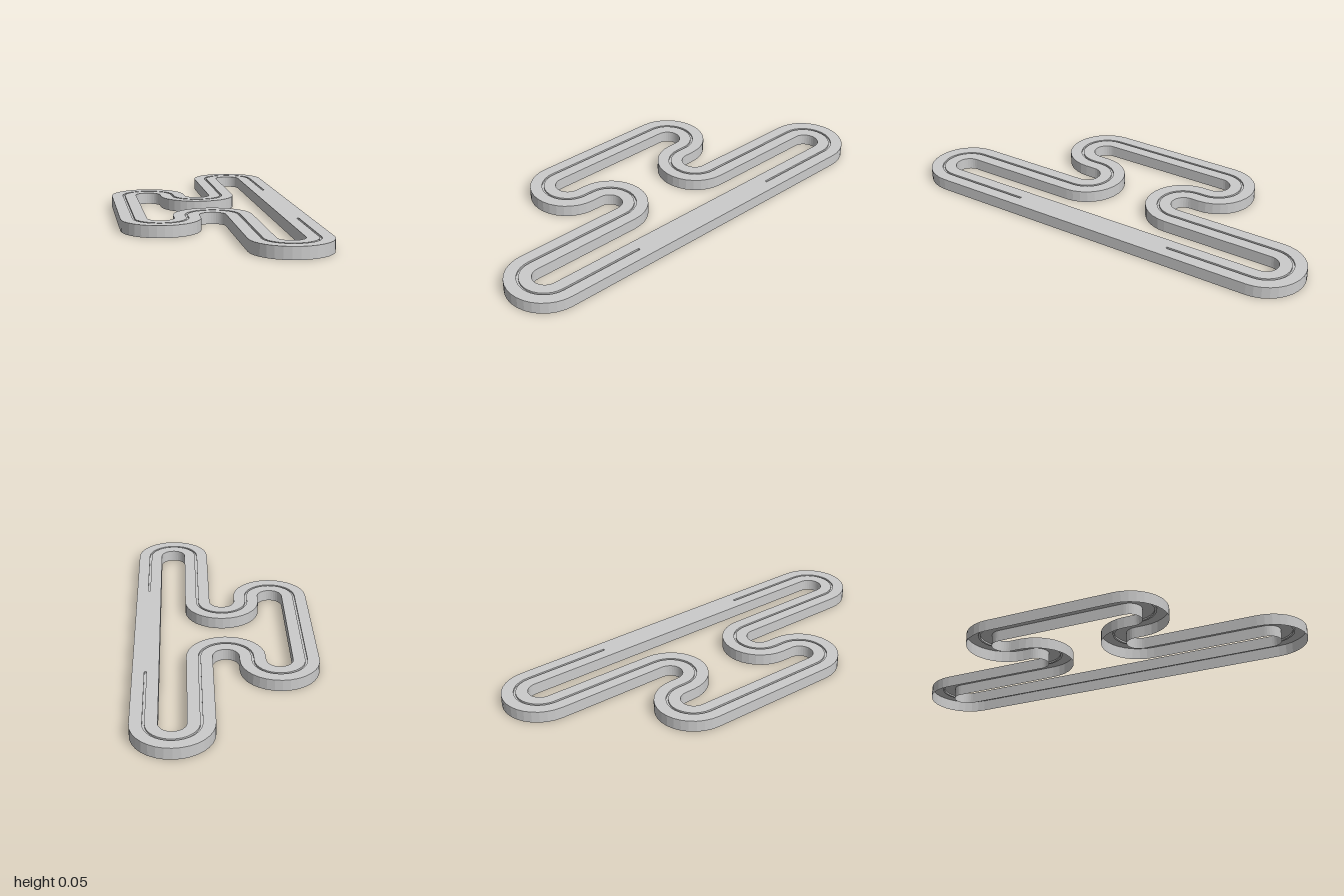
import * as THREE from 'three';

const HEIGHT = 0.055, HALF = 0.06, SLOT = 0.005, DEPTH = 0.008;
const RADIUS = 0.121, STRAIGHT_X = 0.363, SLOT_END = 0.4, ARC_STEPS = 16;

const material = new THREE.MeshStandardMaterial({
  color: 0xcccccc, flatShading: true, side: THREE.DoubleSide,
});

// Sweep a [sideways, height] profile along stations {x, z, nx, nz}
function sweep(stations, profile) {
  const positions = [], index = [], m = profile.length;
  stations.forEach(({ x, z, nx, nz }) => {
    for (const [side, y] of profile) positions.push(x + nx * side, y, z + nz * side);
  });
  for (let i = 0; i < stations.length - 1; i++) {
    for (let j = 0; j < m - 1; j++) {
      const a = i * m + j, b = a + 1, c = a + m, d = c + 1;
      index.push(a, c, b, b, c, d);
    }
  }
  const indexed = new THREE.BufferGeometry();
  indexed.setAttribute('position', new THREE.Float32BufferAttribute(positions, 3));
  indexed.setIndex(index);
  const geometry = indexed.toNonIndexed();
  geometry.computeVertexNormals();
  return geometry;
}

function addMesh(group, name, geometry) {
  const mesh = new THREE.Mesh(geometry, material);
  mesh.name = name;
  group.add(mesh);
  return mesh;
}

export function createModel() {
  const track = new THREE.Group();
  track.name = 'track';

  // Half-circle bends: centre x, centre z, starting side, bulge direction along z
  const bends = [
    [0.242, -0.819, 1, -1], [0, -0.277, 1, 1], [-0.242, -0.319, 1, -1],
    [-0.242, 0.319, -1, 1], [0, 0.268, -1, -1], [0.242, 0.819, -1, 1],
  ];
  const start = { x: STRAIGHT_X, z: -SLOT_END, nx: 1, nz: 0 };
  const end = { x: STRAIGHT_X, z: SLOT_END, nx: 1, nz: 0 };
  const stations = [start];
  for (const [cx, cz, side, bulge] of bends) {
    const outward = -side * bulge;
    for (let i = 0; i <= ARC_STEPS; i++) {
      const a = Math.PI * i / ARC_STEPS;
      const rx = side * Math.cos(a), rz = bulge * Math.sin(a);
      stations.push({
        x: cx + RADIUS * rx, z: cz + RADIUS * rz, nx: rx * outward, nz: rz * outward,
      });
    }
  }
  stations.push(end);

  // Hollow roadway with a guide slot along the middle
  addMesh(track, 'slottedRoadway', sweep(stations, [
    [HALF, 0], [HALF, HEIGHT], [SLOT, HEIGHT], [SLOT, HEIGHT - DEPTH],
    [-SLOT, HEIGHT - DEPTH], [-SLOT, HEIGHT], [-HALF, HEIGHT], [-HALF, 0],
  ]));

  // Plain section of the long straight
  addMesh(track, 'plainStraight', sweep([end, start], [
    [HALF, 0], [HALF, HEIGHT], [-HALF, HEIGHT], [-HALF, 0],
  ]));

  // Small walls closing the slot ends
  for (const s of [-1, 1]) {
    const cap = addMesh(track, 'slotEnd', new THREE.PlaneGeometry(2 * SLOT, DEPTH));
    cap.position.set(STRAIGHT_X, HEIGHT - DEPTH / 2, s * SLOT_END);
    if (s < 0) cap.rotation.y = Math.PI;
  }
  return track;
}
